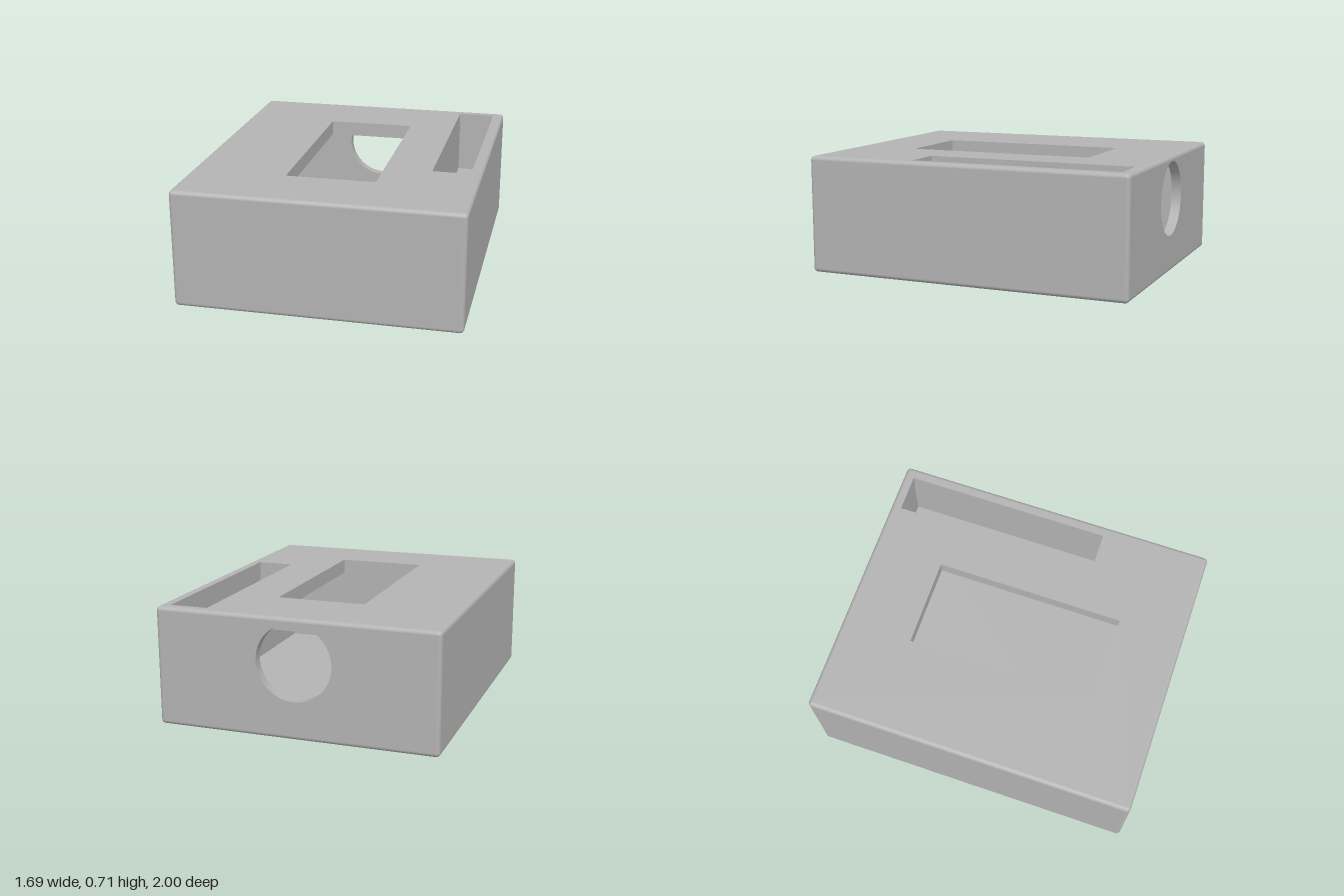
import * as THREE from 'three';
import { RoundedBoxGeometry } from 'three/addons/geometries/RoundedBoxGeometry.js';

const W = 1.69, H = 0.71, D = 2, R = 0.025;
const WALL_X = 0.78, WALL_Z = 0.94, FLOOR = 0.05, CEILING = 0.62;

const trace = (path, x0, x1, y0, y1) =>
  path.moveTo(x0, y0).lineTo(x1, y0).lineTo(x1, y1).lineTo(x0, y1).closePath();

// Horizontal plate with the two rectangular openings cut through it
function topPlate(hx, hz, y0, y1) {
  const shape = trace(new THREE.Shape(), -hx, hx, -hz, hz);
  shape.holes.push(
    trace(new THREE.Path(), -0.27, 0.265, -0.6, 0.562),
    trace(new THREE.Path(), 0.55, 0.778, -0.334, 0.936),
  );
  return new THREE.ExtrudeGeometry(shape, { depth: y1 - y0, bevelEnabled: false })
    .rotateX(-Math.PI / 2).translate(0, y0, 0);
}

// Rounded skin with its flat top and back removed, to be filled by cut plates
function openSkin() {
  const source = new RoundedBoxGeometry(W, H, D, 4, R);
  const pos = source.attributes.position, nor = source.attributes.normal;
  const p = [], n = [];
  for (let i = 0; i < pos.count; i += 3) {
    const corners = [i, i + 1, i + 2];
    if (corners.every(k => pos.getY(k) > H / 2 - 1e-4)) continue;
    if (corners.every(k => pos.getZ(k) < -D / 2 + 1e-4)) continue;
    for (const k of corners) {
      p.push(pos.getX(k), pos.getY(k), pos.getZ(k));
      n.push(nor.getX(k), nor.getY(k), nor.getZ(k));
    }
  }
  const g = new THREE.BufferGeometry();
  g.setAttribute('position', new THREE.Float32BufferAttribute(p, 3));
  g.setAttribute('normal', new THREE.Float32BufferAttribute(n, 3));
  return g.translate(0, H / 2, 0);
}

export function createModel() {
  const group = new THREE.Group();
  const grey = new THREE.MeshStandardMaterial({ color: 0xb3b3b3 });
  grey.name = 'plain grey';

  const add = (name, geometry) => {
    const mesh = new THREE.Mesh(geometry, grey);
    mesh.name = name;
    group.add(mesh);
  };
  // Box given by its limits on each axis
  const block = (name, x0, x1, y0, y1, z0, z1) =>
    add(name, new THREE.BoxGeometry(x1 - x0, y1 - y0, z1 - z0)
      .translate((x0 + x1) / 2, (y0 + y1) / 2, (z0 + z1) / 2));

  // Outer case and top
  add('roundedCase', openSkin());
  add('topPanel', topPlate(W / 2 - R, D / 2 - R, H - R, H));
  add('ceilingPanel', topPlate(0.8, WALL_Z, CEILING, H - R));

  // Back panel with round port
  const back = trace(new THREE.Shape(), -W / 2 + R, W / 2 - R, R, H - R);
  back.holes.push(new THREE.Path().absarc(0, 0.453, 0.226, 0, Math.PI * 2, true));
  add('backPanel', new THREE.ExtrudeGeometry(back,
    { depth: D / 2 - WALL_Z, bevelEnabled: false, curveSegments: 48 }).translate(0, 0, -D / 2));

  // Inner faces of the hollow case
  const top = H - R, ox = W / 2 - 0.01, oz = D / 2 - 0.01;
  block('floorPanel', -0.82, 0.82, 0.01, FLOOR, -0.97, 0.97);
  block('leftWall', WALL_X, ox, R, top, -WALL_Z, WALL_Z);
  block('rightWall', -ox, -WALL_X, R, top, -WALL_Z, WALL_Z);
  block('frontWall', -0.82, 0.82, R, top, WALL_Z, oz);

  // Long pocket hanging under the side slot
  block('pocketSide', 0.5, 0.55, 0.28, CEILING, -WALL_Z, 0.38);
  block('pocketEnd', 0.55, WALL_X, 0.28, CEILING, 0.334, 0.38);
  block('pocketFloor', 0.55, WALL_X, 0.28, 0.31, -WALL_Z, 0.334);

  return group;
}
